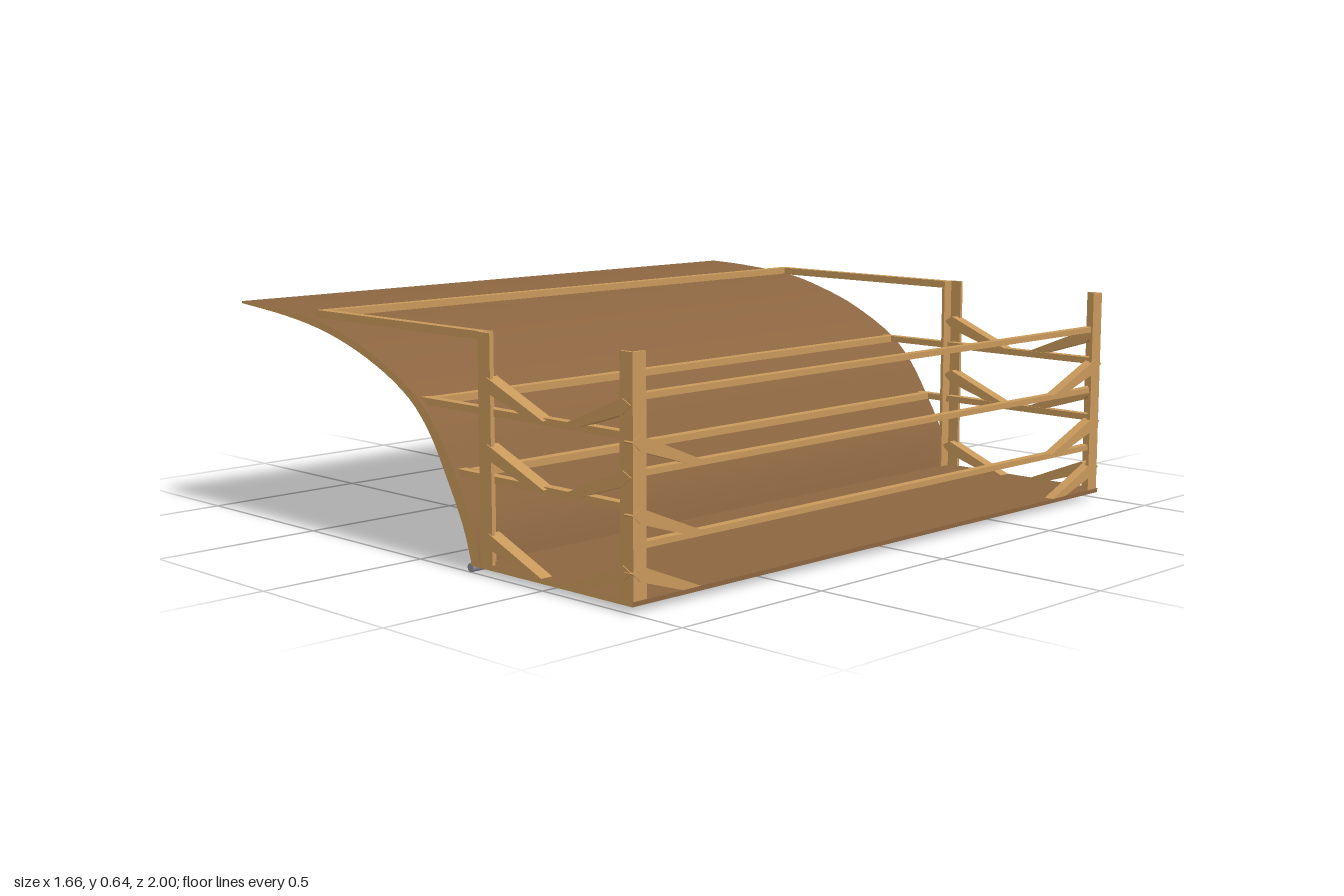
import * as THREE from 'three';
import { toCreasedNormals } from 'three/addons/utils/BufferGeometryUtils.js';

function material(name, color) {
  const m = new THREE.MeshStandardMaterial({ color });
  m.name = name;
  return m;
}

export function createModel() {
  const model = new THREE.Group();
  model.name = 'curvedRampWithFrame';
  const frame = material('light timber', 0xc8985a);
  const sheet = material('brown board', 0x8b6540);
  const steel = material('grey steel', 0x8a8a96);

  function add(name, geometry, mat) {
    const mesh = new THREE.Mesh(geometry, mat);
    mesh.name = name;
    model.add(mesh);
    return mesh;
  }
  // Box given by its lower and upper limits on each axis
  function block(name, [x0, x1], [y0, y1], [z0, z1], mat = frame) {
    const mesh = add(name, new THREE.BoxGeometry(x1 - x0, y1 - y0, z1 - z0), mat);
    mesh.position.set((x0 + x1) / 2, (y0 + y1) / 2, (z0 + z1) / 2);
    return mesh;
  }
  // Limits mirrored to the front (s = 1) or back (s = -1) end
  const ends = (s, a, b) => (s > 0 ? [a, b] : [-b, -a]);

  // Diagonal brace with level-cut foot, drawn in a plane and given a depth
  function braceGeometry(length, rise, depth) {
    const shape = new THREE.Shape();
    shape.moveTo(0, rise);
    shape.lineTo(0.03, rise - 0.025);
    shape.lineTo(length - 0.06, 0);
    shape.lineTo(length, 0);
    shape.lineTo(0.03, rise + 0.015);
    shape.closePath();
    const g = new THREE.ExtrudeGeometry(shape, { depth, bevelEnabled: false });
    return g.translate(0, 0, -depth / 2);
  }

  // Curved board: upper and lower lines of the section, light on the cut ends
  const spline = (points) =>
    new THREE.CatmullRomCurve3(points.map(([x, y]) => new THREE.Vector3(x, y, 0)))
      .getPoints(28).map((p) => new THREE.Vector2(p.x, p.y));
  const upper = spline([[-0.83, 0.64], [-0.68, 0.634], [-0.45, 0.612], [-0.3, 0.575],
    [-0.17, 0.53], [0, 0.44], [0.08, 0.365], [0.15, 0.262], [0.225, 0.125], [0.253, 0.022]]);
  const lower = spline([[0.218, 0.022], [0.187, 0.115], [0.107, 0.262], [0.055, 0.345],
    [-0.013, 0.418], [-0.1, 0.474], [-0.213, 0.524], [-0.33, 0.563], [-0.458, 0.593],
    [-0.62, 0.616], [-0.83, 0.634]]);
  const curved = new THREE.ExtrudeGeometry(new THREE.Shape([...upper, ...lower]),
    { depth: 2, bevelEnabled: false }).translate(0, 0, -1);
  add('curvedBoard', toCreasedNormals(curved, 0.5), [frame, sheet]);

  // Floor, light on its cut ends, and the pipe under its inner edge
  block('floor', [0.215, 0.83], [0.018, 0.03], [-1, 1],
    [sheet, sheet, sheet, sheet, frame, frame]);
  const pipe = add('hingePipe', new THREE.CylinderGeometry(0.012, 0.012, 2, 16), steel);
  pipe.rotation.x = Math.PI / 2;
  pipe.position.set(0.213, 0.012, 0);

  // Long rails over the curve
  for (const [x, y] of [[-0.46, 0.63], [0.02, 0.432], [0.18, 0.257]]) {
    block('curveLongRail', [x - 0.015, x + 0.015], [y - 0.01, y + 0.01], [-0.96, 0.96]);
  }
  // Long rails of the open side
  for (const y of [0.529, 0.342, 0.163]) {
    block('sideLongRail', [0.797, 0.822], [y - 0.008, y + 0.008], [-0.96, 0.96]);
  }

  for (const s of [1, -1]) {
    const railZ = ends(s, 0.957, 0.985);

    // Angle posts, each of two boards
    for (const [x0, x1, edge] of [[0.25, 0.298, 0.25], [0.782, 0.828, 0.818]]) {
      block('postFace', [x0, x1], [0.02, 0.64], ends(s, 0.985, 0.995));
      block('postFlange', [edge, edge + 0.01], [0.02, 0.64], ends(s, 0.95, 0.995));
    }

    // Cross rails
    block('topCrossRail', [-0.475, 0.26], [0.618, 0.64], railZ);
    block('upperCurveRail', [-0.02, 0.26], [0.423, 0.442], railZ);
    block('lowerCurveRail', [0.145, 0.26], [0.247, 0.266], railZ);
    for (const y of [0.423, 0.247]) {
      block('endRail', [0.27, 0.815], [y, y + 0.019], railZ);
    }

    // Braces across each end, from both posts
    for (const y of [0.436, 0.26, 0.025]) {
      const geometry = braceGeometry(0.25, 0.075, 0.038);
      const a = add('endBrace', geometry, frame);
      a.position.set(0.255, y, s * 0.979);
      const b = add('endBrace', geometry, frame);
      b.rotation.y = Math.PI;
      b.position.set(0.824, y, s * 0.979);
    }

    // Braces along the open side
    for (const y of [0.347, 0.168, 0.025]) {
      const c = add('sideBrace', braceGeometry(0.25, 0.075, 0.03), frame);
      c.rotation.y = s * Math.PI / 2;
      c.position.set(0.815, y, s);
    }
  }
  return model;
}
